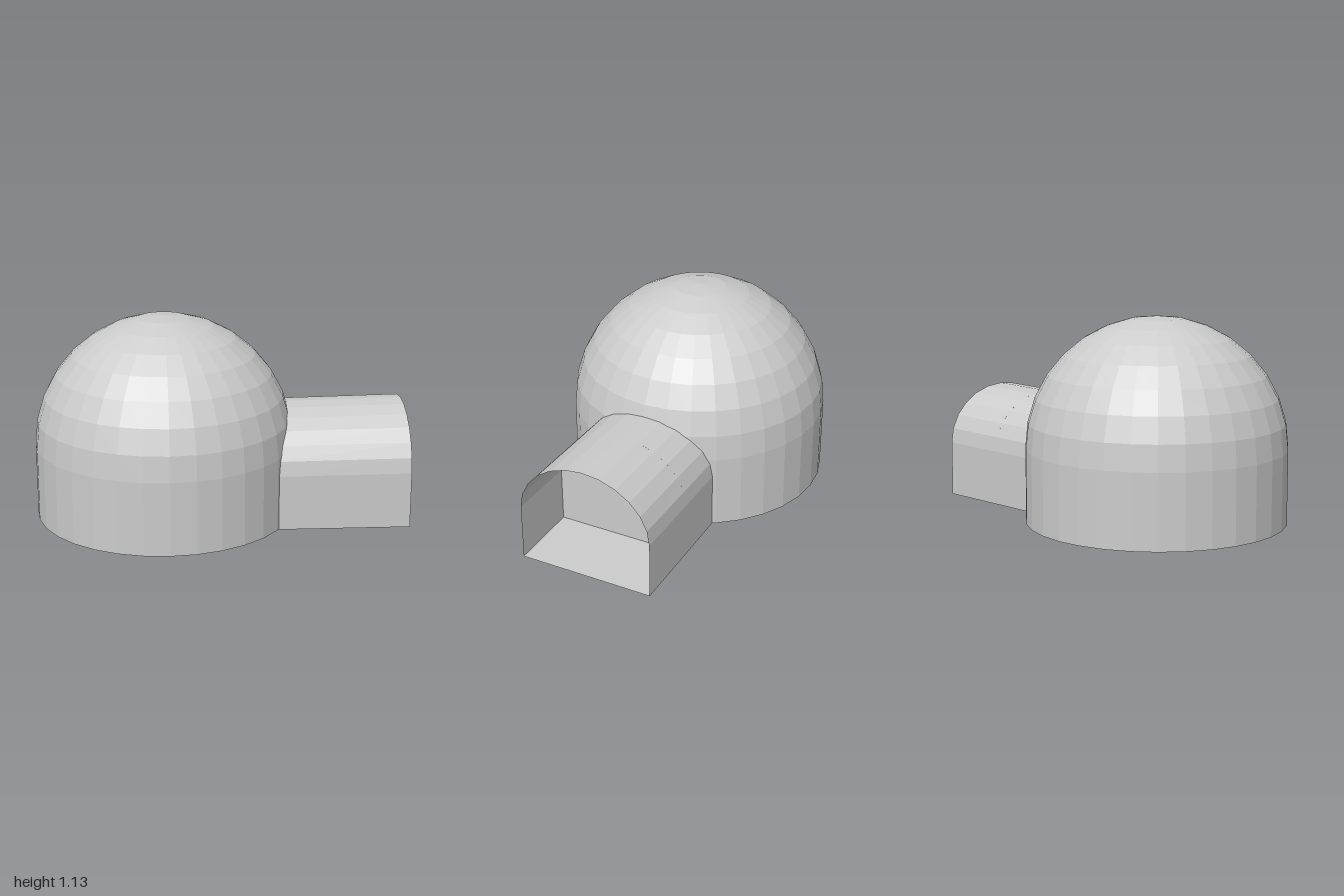
import * as THREE from 'three';

const material = new THREE.MeshStandardMaterial({ color: 0xcccccc, flatShading: true, side: THREE.DoubleSide });

// Arched outline as [z, y] points: straight sides under a half ellipse
function archOutline(floorY, topY, halfWidth = 0.372, springY = 0.33, steps = 12) {
  const points = [[halfWidth, floorY]];
  for (let i = 0; i <= steps; i++) {
    const a = (i / steps) * Math.PI;
    points.push([halfWidth * Math.cos(a), springY + (topY - springY) * Math.sin(a)]);
  }
  points.push([-halfWidth, floorY]);
  return points;
}

// Closed thin shell between two outlines at x0 and x1
function shell(x0, outline0, x1, outline1) {
  const n = outline0.length;
  const positions = [];
  const index = [];
  for (let i = 0; i < n; i++) {
    positions.push(x0, outline0[i][1], outline0[i][0]);
    positions.push(x1, outline1[i][1], outline1[i][0]);
    const a = 2 * i, b = 2 * ((i + 1) % n);
    index.push(a, a + 1, b + 1, a, b + 1, b);
  }
  const geometry = new THREE.BufferGeometry();
  geometry.setAttribute('position', new THREE.Float32BufferAttribute(positions, 3));
  geometry.setIndex(index);
  geometry.computeVertexNormals();
  return geometry;
}

export function createModel() {
  const group = new THREE.Group();
  const add = (name, geometry) => {
    const mesh = new THREE.Mesh(geometry, material);
    mesh.name = name;
    group.add(mesh);
    return mesh;
  };

  // Dome: shallow bulged base, upright wall, hemispherical roof
  const radius = 0.7, springY = 0.43;
  const profile = [[0, 0], [0.27, 0.003], [0.5, 0.012], [0.65, 0.024], [radius, 0.034]]
    .map(([x, y]) => new THREE.Vector2(x, y));
  for (let i = 0; i <= 8; i++) {
    const a = (i / 8) * Math.PI / 2;
    profile.push(new THREE.Vector2(i === 8 ? 0 : radius * Math.cos(a), springY + radius * Math.sin(a)));
  }
  add('dome', new THREE.LatheGeometry(profile, 32)).position.x = -0.3;

  // Entrance tunnel, flaring slightly towards its open end
  const inner = archOutline(0.031, 0.635);
  const outer = archOutline(0.025, 0.644);
  add('entranceTunnel', shell(0.28, inner, 1, outer));

  // Wall closing the tunnel part way in
  const wallShape = new THREE.Shape(archOutline(0.028, 0.639).map(([z, y]) => new THREE.Vector2(-z, y)));
  const wall = add('tunnelEndWall', new THREE.ShapeGeometry(wallShape));
  wall.rotation.y = Math.PI / 2;
  wall.position.x = 0.6;

  return group;
}
